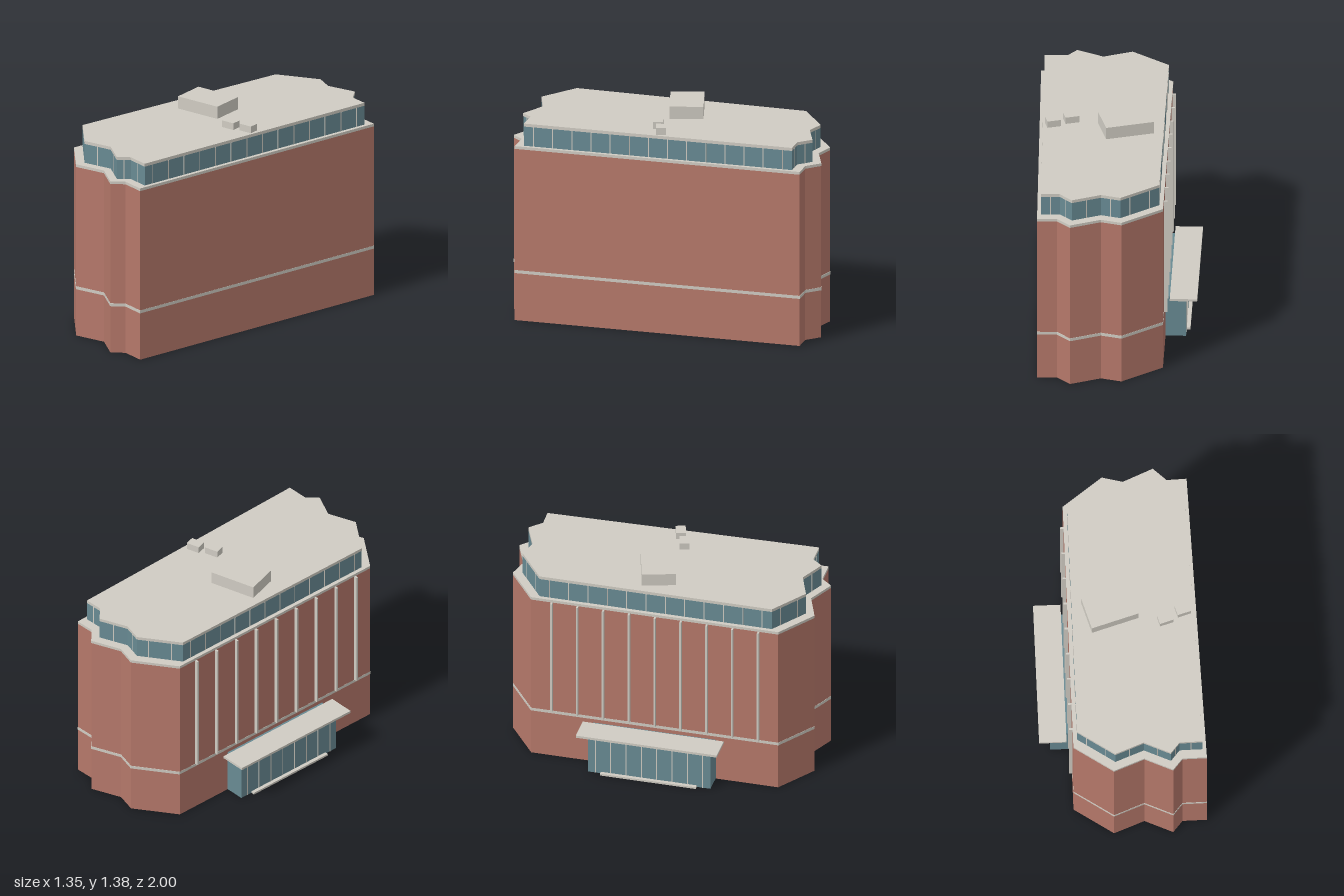
import * as THREE from 'three';

const brick = new THREE.MeshStandardMaterial({ color: 0xb5786a });
const glass = new THREE.MeshStandardMaterial({ color: 0x688a93 });
const concrete = new THREE.MeshStandardMaterial({ color: 0xd0ccc3 });

// Floor plan corners as [x, z], starting with the long left-hand wall
const PLAN = [
  [-0.124, -0.894], [-0.58, 0.651], [-0.389, 0.884], [-0.182, 0.868],
  [-0.034, 0.997], [0.045, 0.945], [0.193, 0.987], [0.675, -0.82],
  [0.553, -0.852], [0.495, -0.952], [0.288, -0.93], [0.172, -1.0],
];
const CENTRE_X = 0.048;

const scaledPlan = (s) => PLAN.map(([x, z]) => [CENTRE_X + (x - CENTRE_X) * s, z * s]);

// Slab with the shape of the plan, between two heights
function storey(name, plan, y0, y1, material) {
  const shape = new THREE.Shape(plan.map(([x, z]) => new THREE.Vector2(x, -z)));
  const geometry = new THREE.ExtrudeGeometry(shape, { depth: y1 - y0, bevelEnabled: false });
  geometry.rotateX(-Math.PI / 2);
  geometry.translate(0, y0, 0);
  const mesh = new THREE.Mesh(geometry, material);
  mesh.name = name;
  return mesh;
}

// Box given by its extents on each axis
function block(name, x0, x1, y0, y1, z0, z1, material) {
  const mesh = new THREE.Mesh(new THREE.BoxGeometry(x1 - x0, y1 - y0, z1 - z0), material);
  mesh.position.set((x0 + x1) / 2, (y0 + y1) / 2, (z0 + z1) / 2);
  mesh.name = name;
  return mesh;
}

// Group lying on a wall: x runs along the wall, z points outward
function wallFrame(name, a, b) {
  const group = new THREE.Group();
  group.name = name;
  group.position.set(a[0], 0, a[1]);
  group.rotation.y = Math.atan2(-(b[1] - a[1]), b[0] - a[0]);
  return group;
}

export function createModel() {
  const model = new THREE.Group();
  model.name = 'building';

  // Brick block with its string course and parapet
  model.add(storey('brickBody', PLAN, 0, 1.135, brick));
  model.add(storey('stringCourse', scaledPlan(1.002), 0.312, 0.332, concrete));
  model.add(storey('parapet', scaledPlan(1.001), 1.135, 1.153, concrete));

  // Set-back glazed top floor
  const top = scaledPlan(0.94);
  model.add(storey('topFloorGlass', top, 1.153, 1.28, glass));
  model.add(storey('roofSlab', scaledPlan(0.941), 1.28, 1.3, concrete));
  top.forEach((a, i) => {
    const b = top[(i + 1) % top.length];
    const length = Math.hypot(b[0] - a[0], b[1] - a[1]);
    const panels = Math.max(1, Math.floor(length / 0.125));
    const frame = wallFrame('topFloorMullions', a, b);
    for (let k = 0; k < panels; k++) {
      const x = ((k + 0.5) / panels) * length;
      frame.add(block('mullion', x - 0.003, x + 0.003, 1.153, 1.28, -0.004, 0.002, concrete));
    }
    model.add(frame);
  });

  // Rooftop plant
  model.add(block('plantRoom', -0.24, 0.07, 1.3, 1.382, -0.2, 0.015, concrete));
  model.add(block('ventUnit', 0.18, 0.27, 1.3, 1.345, 0.05, 0.113, concrete));
  model.add(block('ventUnit', 0.305, 0.393, 1.3, 1.345, 0.03, 0.093, concrete));

  // Vertical fins on the long entrance wall
  const entrance = wallFrame('entranceWall', PLAN[0], PLAN[1]);
  for (let i = 0; i < 9; i++) {
    const x = 0.135 + i * 0.1685;
    entrance.add(block('fin', x - 0.006, x + 0.006, 0.332, 1.135, -0.005, 0.022, concrete));
  }

  // Glazed entrance lobby, canopy and step
  entrance.add(block('lobbyGlass', 0.404, 1.204, 0.002, 0.287, -0.005, 0.13, glass));
  for (let i = 0; i < 8; i++) {
    const x = 0.454 + i * 0.1;
    entrance.add(block('lobbyMullion', x - 0.003, x + 0.003, 0.002, 0.287, 0.125, 0.132, concrete));
  }
  entrance.add(block('canopy', 0.345, 1.264, 0.286, 0.302, 0.029, 0.202, concrete));
  entrance.add(block('entranceStep', 0.49, 1.115, 0, 0.013, 0.022, 0.154, concrete));
  model.add(entrance);

  return model;
}
